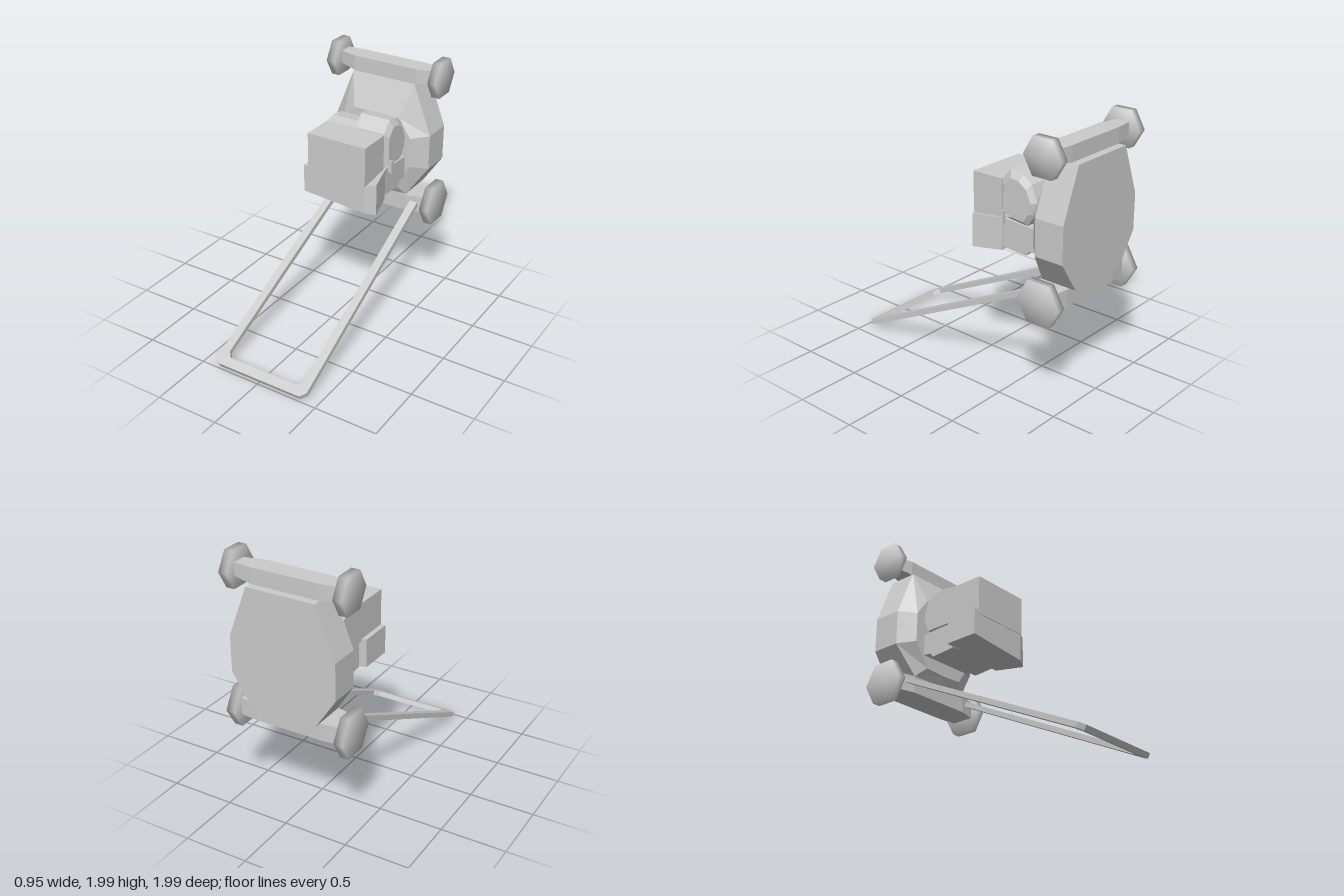
import * as THREE from 'three';
import { mergeVertices } from 'three/addons/utils/BufferGeometryUtils.js';

const flat = new THREE.MeshStandardMaterial({ color: 0xcccccc, flatShading: true });
const smooth = new THREE.MeshStandardMaterial({ color: 0xcccccc });

// Skin convex rings of [x, y, z] points, counter-clockwise around the direction of travel, with capped ends
function loft(rings) {
  const n = rings[0].length;
  const pos = [];
  const tri = (a, b, c) => pos.push(...a, ...b, ...c);
  for (let r = 0; r < rings.length - 1; r++) {
    const A = rings[r], B = rings[r + 1];
    for (let i = 0; i < n; i++) {
      const j = (i + 1) % n;
      tri(A[i], A[j], B[j]);
      tri(A[i], B[j], B[i]);
    }
  }
  const first = rings[0], last = rings[rings.length - 1];
  for (let i = 1; i < n - 1; i++) {
    tri(first[0], first[i + 1], first[i]);
    tri(last[0], last[i], last[i + 1]);
  }
  const g = new THREE.BufferGeometry();
  g.setAttribute('position', new THREE.Float32BufferAttribute(pos, 3));
  g.computeVertexNormals();
  return g;
}

// Place a side profile of [z, y] points at a given x
const atX = (profile, x) => profile.map(([z, y]) => [x, y, z]);

// Shrink a side profile about a centre
const shrink = (profile, k, cz, cy) => profile.map(([z, y]) => [cz + (z - cz) * k, cy + (y - cy) * k]);

// Symmetric ring from its +x half (bottom to top) plus a bottom centre point
const mirrored = (bottom, half) => [bottom, ...half, ...half.slice().reverse().map(([x, y, z]) => [-x, y, z])];

export function createModel() {
  const model = new THREE.Group();
  const add = (name, geometry, material = flat, parent = model) => {
    const m = new THREE.Mesh(geometry, material);
    m.name = name;
    parent.add(m);
    return m;
  };

  // Cutting deck: flat back, straight wall, bevelled front
  const outline = [[0.26, 0.88], [0.42, 1.12], [0.42, 1.4], [0.27, 1.79]];
  const wallZ = [-0.69, -0.745, -0.745, -0.745];
  add('deck', loft([
    mirrored([0, 0.865, -0.98], outline.map(([x, y]) => [x, y, -0.98])),
    mirrored([0, 0.865, -0.68], outline.map(([x, y], i) => [x, y, wallZ[i]])),
    mirrored([0, 0.95, -0.64], [[0.18, 0.96, -0.64], [0.305, 1.15, -0.64], [0.305, 1.39, -0.64], [0.2, 1.54, -0.64]]),
  ]));

  // Axle housings with tapered ends
  const axle = (name, y0, y1, z0, z1, rise) => {
    const ring = (x, e) => atX([[z0 + e * 0.4, y0 + e * rise], [z0 + e * 0.4, y1], [z1 - e, y1], [z1 - e, y0 + e * rise]], x);
    add(name, loft([ring(-0.42, 0.04), ring(-0.27, 0), ring(0.27, 0), ring(0.42, 0.04)]));
  };
  axle('upperAxle', 1.79, 1.91, -0.92, -0.76, 0.6);
  axle('lowerAxle', 0.74, 0.875, -0.92, -0.68, 0);

  // Six-sided wheels, shaded smooth all over
  const wheelGeometry = (radius) => {
    let g = new THREE.CylinderGeometry(radius, radius, 0.066, 6);
    g.deleteAttribute('normal');
    g.deleteAttribute('uv');
    g = mergeVertices(g);
    g.computeVertexNormals();
    return g.rotateZ(Math.PI / 2);
  };
  for (const [name, r, y, z] of [['upperWheel', 0.158, 1.855, -0.835], ['lowerWheel', 0.182, 0.802, -0.817]]) {
    const g = wheelGeometry(r);
    for (const s of [1, -1]) add(name, g, smooth).position.set(s * 0.443, y, z);
  }

  // U-shaped push handle
  const half = [[0.36, 0], [0.4, 0.045], [0.37, 1.85], [0.305, 1.85], [0.333, 0.12], [0.295, 0.075]];
  const pts = [...half, ...half.slice().reverse().map(([x, y]) => [-x, y])];
  const shape = new THREE.Shape(pts.map(([x, y]) => new THREE.Vector2(x, y)));
  const handle = add('handle', new THREE.ExtrudeGeometry(shape, { depth: 0.04, bevelEnabled: false }));
  handle.rotation.x = -1.122;
  handle.position.set(0, 0, 0.975);

  // Engine
  const engine = new THREE.Group();
  engine.name = 'engine';
  model.add(engine);
  const prism = (name, profile, x0, x1) => add(name, loft([atX(profile, x0), atX(profile, x1)]), flat, engine);

  // Upper front cowl
  prism('engineCowl', [[-0.05, 1.22], [-0.05, 1.535], [-0.325, 1.535], [-0.325, 1.22]].reverse(), -0.24, 0.257);
  // Rounded housing behind the cowl
  prism('rearHousing', [[-0.32, 1.24], [-0.58, 1.24], [-0.63, 1.36], [-0.6, 1.48], [-0.52, 1.54], [-0.4, 1.555], [-0.32, 1.535]], -0.24, 0.01);
  // Lower block reaching the deck
  prism('crankcase', [[-0.32, 1.03], [-0.54, 1.015], [-0.57, 1.05], [-0.65, 1.06], [-0.65, 1.23], [-0.32, 1.25]], -0.22, 0.265);

  // Lower front block, flared toward +x
  const plan = [[-0.28, -0.055], [-0.28, -0.33], [0.27, -0.33], [0.33, -0.1], [0.25, -0.055]];
  const bottomY = [1.04, 1.04, 1.0, 0.985, 1.0];
  const topY = [1.26, 1.26, 1.25, 1.24, 1.22];
  const planRing = (ys) => plan.map(([x, z], i) => [x, ys[i], z]).reverse();
  add('lowerEngineBlock', loft([planRing(bottomY), planRing(topY)]), flat, engine);

  // Rounded tank with a tapered outer end
  const tank = [[-0.32, 1.26], [-0.55, 1.24], [-0.61, 1.33], [-0.63, 1.43], [-0.58, 1.55], [-0.5, 1.61], [-0.4, 1.627], [-0.32, 1.54]];
  add('tank', loft([atX(tank, 0.01), atX(tank, 0.255), atX(shrink(tank, 0.78, -0.46, 1.38), 0.285)]), flat, engine);

  // Small throttle lever
  add('lever', new THREE.BoxGeometry(0.03, 0.1, 0.018), flat, engine).position.set(0.295, 1.27, -0.36);
  add('leverRod', new THREE.BoxGeometry(0.015, 0.012, 0.06), flat, engine).position.set(0.29, 1.285, -0.39);

  // Fix winding of any closed part whose profile ran the other way
  model.traverse((m) => {
    if (!m.isMesh || m.geometry.index) return;
    const p = m.geometry.attributes.position;
    const [a, b, c] = [0, 1, 2].map(() => new THREE.Vector3());
    let volume = 0;
    for (let i = 0; i < p.count; i += 3) {
      [a, b, c].forEach((v, k) => v.fromBufferAttribute(p, i + k));
      volume += a.dot(b.clone().cross(c));
    }
    if (volume >= 0) return;
    for (let i = 0; i < p.count; i += 3) {
      b.fromBufferAttribute(p, i + 1);
      c.fromBufferAttribute(p, i + 2);
      p.setXYZ(i + 1, c.x, c.y, c.z);
      p.setXYZ(i + 2, b.x, b.y, b.z);
    }
    m.geometry.computeVertexNormals();
  });
  return model;
}
